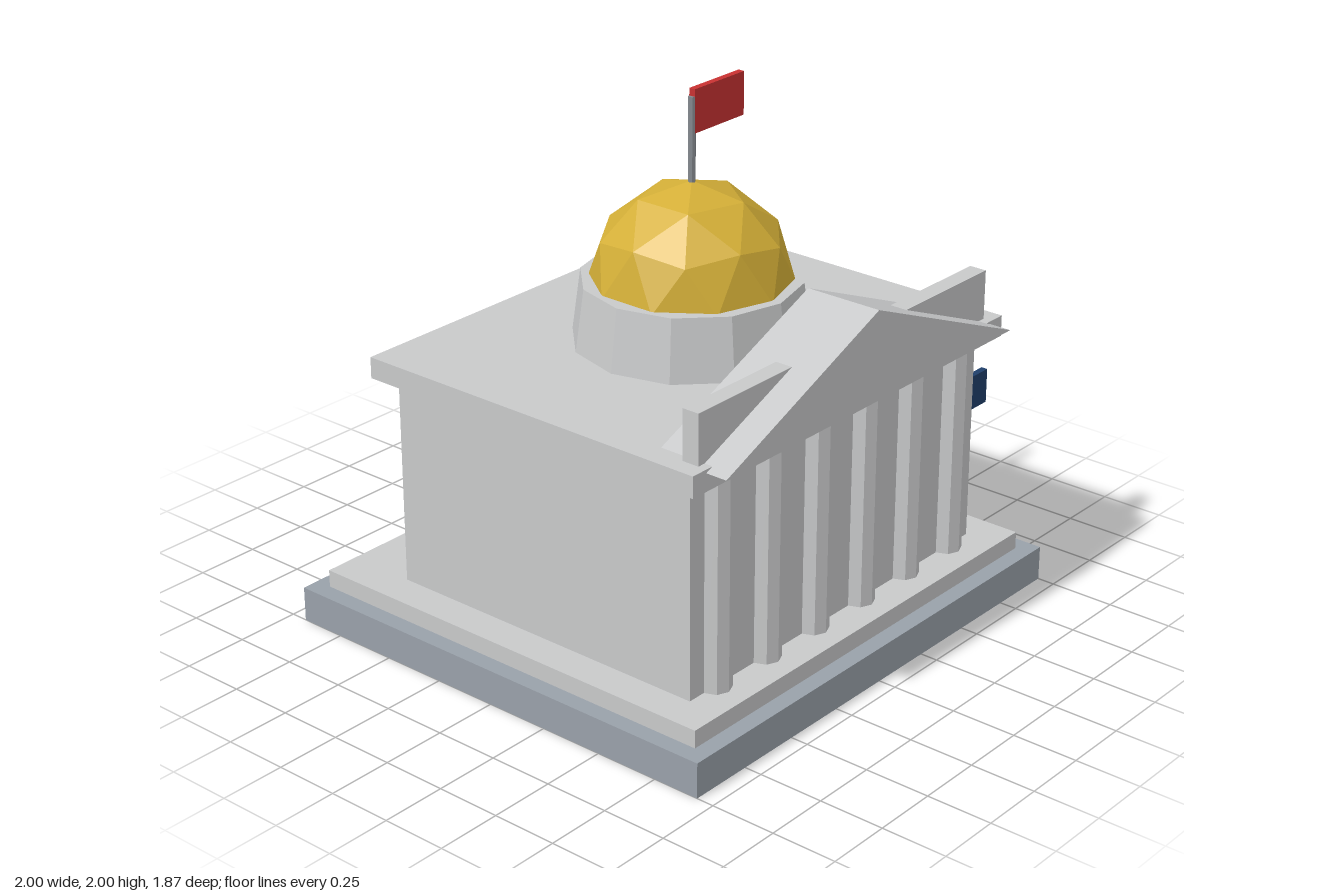
import * as THREE from 'three';

const makeMaterial = (name, color) => {
  const m = new THREE.MeshStandardMaterial({ color });
  m.name = name;
  return m;
};

// Give every face its own normal for a faceted look
function faceted(geometry) {
  const g = geometry.index ? geometry.toNonIndexed() : geometry;
  g.computeVertexNormals();
  return g;
}

export function createModel() {
  const model = new THREE.Group();
  model.name = 'domedBuilding';

  const stone = makeMaterial('paleStone', 0xc8c9ca);
  const slate = makeMaterial('slate', 0x99a1aa);
  const gold = makeMaterial('gold', 0xd4af37);
  const red = makeMaterial('flagRed', 0xc83232);
  const blue = makeMaterial('bannerBlue', 0x1f3f6b);
  const steel = makeMaterial('poleGrey', 0x858a90);

  const add = (name, geometry, material, parent = model) => {
    const mesh = new THREE.Mesh(geometry, material);
    mesh.name = name;
    parent.add(mesh);
    return mesh;
  };

  // Box given by its minimum and maximum corners
  const box = (name, material, [x0, y0, z0], [x1, y1, z1]) => {
    const mesh = add(name, new THREE.BoxGeometry(x1 - x0, y1 - y0, z1 - z0), material);
    mesh.position.set((x0 + x1) / 2, (y0 + y1) / 2, (z0 + z1) / 2);
    return mesh;
  };

  // Plinth, step, main hall and flat roof
  box('plinth', slate, [-1, 0, -0.933], [1, 0.133, 0.933]);
  box('step', stone, [-0.933, 0.133, -0.867], [0.933, 0.2, 0.867]);
  box('hall', stone, [-0.8, 0.2, -0.6], [0.8, 1, 0.733]);
  box('roofSlab', stone, [-0.867, 1, -0.667], [0.867, 1.08, 0.8]);

  // Six octagonal columns half sunk into the front wall
  const colonnade = new THREE.Group();
  colonnade.name = 'colonnade';
  model.add(colonnade);
  const columnGeometry = faceted(new THREE.CylinderGeometry(0.06, 0.06, 0.8, 8));
  for (let i = 0; i < 6; i++) {
    const column = add('column', columnGeometry, stone, colonnade);
    column.position.set(-0.667 + i * 0.2667, 0.6, 0.733);
  }

  // Parapet wall running through the triangular pediment
  box('parapet', stone, [-0.8, 1.07, 0.7], [0.8, 1.267, 0.767]);
  const gable = new THREE.Shape([
    new THREE.Vector2(-0.8, 1.067),
    new THREE.Vector2(0.8, 1.067),
    new THREE.Vector2(0, 1.4),
  ]);
  const pediment = add('pediment',
    new THREE.ExtrudeGeometry(gable, { depth: 0.3, bevelEnabled: false }), stone);
  pediment.position.z = 0.583;

  // Tapered twelve-sided drum
  const centreZ = 0.067;
  const drum = add('drum', faceted(new THREE.CylinderGeometry(0.4, 0.433, 0.246, 12)), stone);
  drum.position.set(0, 1.19, centreZ);

  // Faceted dome, turned so that one corner points straight up
  const domeGeometry = new THREE.IcosahedronGeometry(0.367, 1);
  domeGeometry.rotateZ(-Math.atan(2 / (1 + Math.sqrt(5))));
  const dome = add('dome', faceted(domeGeometry), gold);
  dome.position.set(0, 1.3, centreZ);

  // Flagpole and flag on the dome
  const pole = add('flagpole', faceted(new THREE.CylinderGeometry(0.0133, 0.0133, 0.34, 8)), steel);
  pole.position.set(0, 1.803, centreZ);
  box('flag', red, [0, 1.84, centreZ - 0.0125], [0.267, 2, centreZ + 0.0125]);

  // Banner projecting from the left wall
  box('sideBanner', blue, [0.79, 0.667, 0.655], [0.97, 0.8, 0.68]);

  return model;
}
